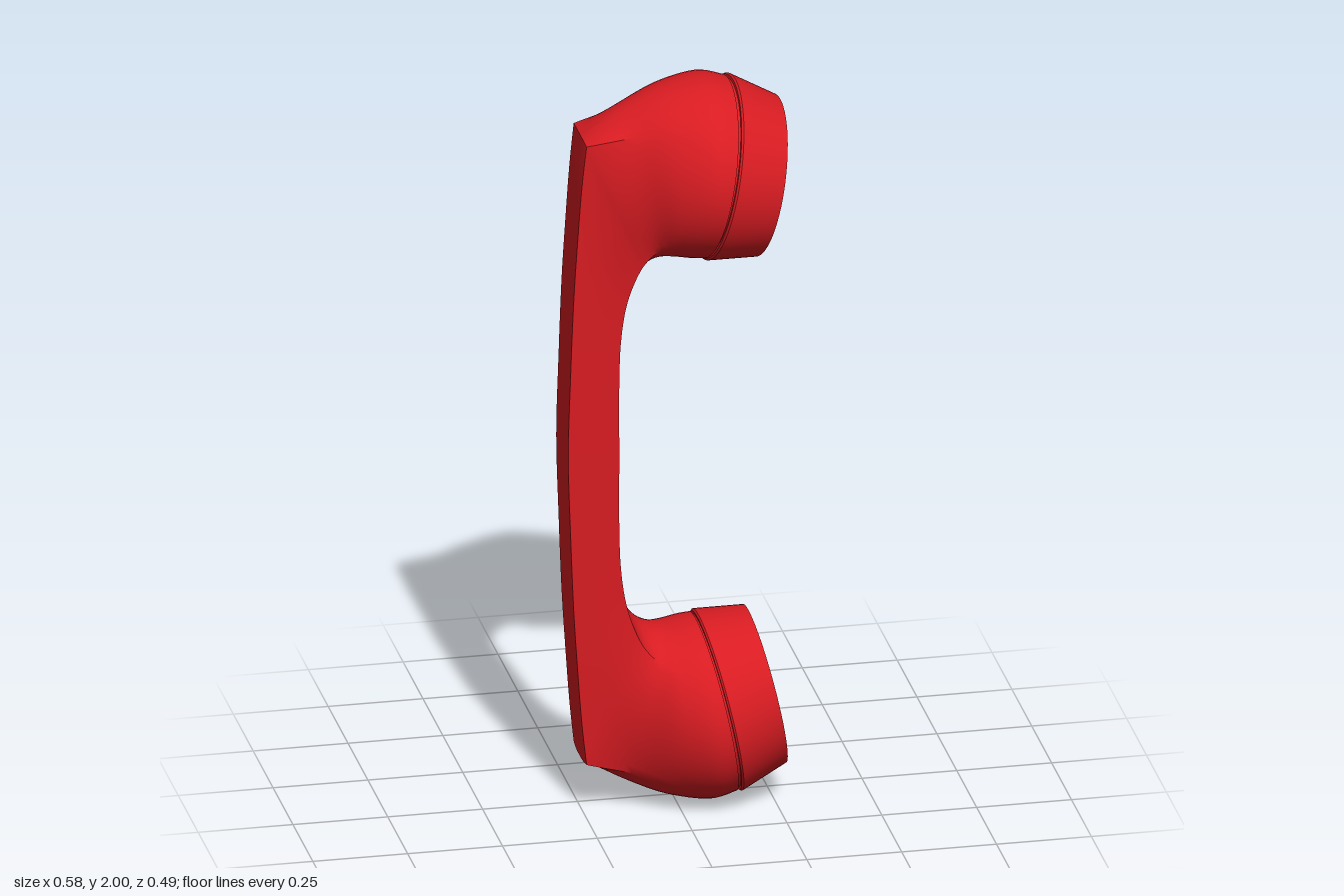
import * as THREE from 'three';
import { toCreasedNormals } from 'three/addons/utils/BufferGeometryUtils.js';

const red = new THREE.MeshStandardMaterial({ color: 0xd81c22 });

// Cross-sections from the upper end to mid-handle:
// outer x, y | inner x, y | half width outer, inner | roundness outer, inner
const HALF = [
  [0.152, 1.983, 0.062, 1.515, 0.245, 0.245, 1, 1],
  [0.08, 2.0, 0.03, 1.517, 0.245, 0.243, 1, 1],
  [-0.03, 1.982, -0.015, 1.523, 0.195, 0.22, 0.95, 1],
  [-0.14, 1.935, -0.05, 1.521, 0.128, 0.178, 0.75, 0.9],
  [-0.245, 1.87, -0.085, 1.506, 0.083, 0.145, 0, 0.65],
  [-0.256, 1.75, -0.115, 1.475, 0.08, 0.122, 0, 0.35],
  [-0.266, 1.6, -0.14, 1.415, 0.078, 0.105, 0, 0.12],
  [-0.276, 1.43, -0.155, 1.325, 0.077, 0.098, 0, 0],
  [-0.284, 1.22, -0.16, 1.2, 0.076, 0.097, 0, 0],
  [-0.29, 1, -0.16, 1, 0.076, 0.097, 0, 0],
];
const mirrored = HALF.slice(0, -1).reverse().map((r) => r.map((v, k) => (k === 1 || k === 3 ? 2 - v : v)));
const ROWS = [...HALF, ...mirrored];
const LAST = ROWS.length - 1;
const CORNERS = [0, 4, LAST - 4, LAST]; // the outer line breaks sharply here

// Smooth interpolation of one column, stopping at the sharp corners
function sample(col, t) {
  const i = Math.min(Math.floor(t), LAST - 1);
  const f = t - i;
  const outer = col === 0 || col === 1 || col === 4 || col === 6;
  const breaks = outer ? CORNERS : [0, LAST];
  const lo = Math.max(...breaks.filter((b) => b <= i));
  const hi = Math.min(...breaks.filter((b) => b > i));
  const at = (k) => ROWS[Math.min(hi, Math.max(lo, k))][col];
  const [a, b, c, d] = [at(i - 1), at(i), at(i + 1), at(i + 2)];
  return b + 0.5 * f * (c - a + f * (2 * a - 5 * b + 4 * c - d + f * (3 * (b - c) + d - a)));
}

// Handle and both bells as one loft, blending square sections into round ones
function bodyGeometry() {
  const sides = 64, steps = 6;
  const rings = [[0, 0]];
  for (let k = 0; k <= LAST * steps; k++) rings.push([k / steps, 1]);
  rings.push([LAST, 0]);
  const pos = [], index = [];
  rings.forEach(([t, size], i) => {
    const [ox, oy, ix, iy, wo, wi, ro, ri] = ROWS[0].map((_, col) => sample(col, t));
    for (let j = 0; j <= sides; j++) {
      const a = ((j % sides) / sides) * Math.PI * 2;
      const c = Math.cos(a), s = Math.sin(a);
      const m = Math.max(Math.abs(c), Math.abs(s));
      const mix = THREE.MathUtils.clamp(ri + (ro - ri) * (c + 1) / 2, 0, 1);
      const k = size * THREE.MathUtils.lerp(1 / m, 1, mix);
      const u = c * k;
      const w = wi + (wo - wi) * (u + 1) / 2;
      pos.push((ox + ix) / 2 + u * (ox - ix) / 2, (oy + iy) / 2 + u * (oy - iy) / 2, s * k * w);
      if (i < rings.length - 1 && j < sides) {
        const p = i * (sides + 1) + j, q = p + sides + 1;
        index.push(p, q, p + 1, p + 1, q, q + 1);
      }
    }
  });
  const g = new THREE.BufferGeometry();
  g.setAttribute('position', new THREE.Float32BufferAttribute(pos, 3));
  g.setIndex(index);
  return toCreasedNormals(g, 0.55);
}

// Screw-on cap: a collar in the groove, a tapered rim, and a given face
function capGeometry(face) {
  const profile = [[0, -0.02], [0.232, -0.02], [0.232, 0.006], [0.24, 0.006], [0.244, 0.011], [0.212, 0.14], ...face];
  const g = new THREE.LatheGeometry(profile.map(([x, y]) => new THREE.Vector2(x, y)), 64);
  // lean the cap slightly toward the middle of the handle
  const p = g.attributes.position;
  for (let i = 0; i < p.count; i++) p.setX(i, p.getX(i) + 0.07 * p.getY(i));
  return toCreasedNormals(g, 0.6);
}

function addCap(parent, name, face) {
  const cap = new THREE.Mesh(capGeometry(face), red);
  cap.name = name;
  cap.position.set(0.108, 0.749, 0);
  cap.rotation.z = -Math.PI / 2 - 0.2;
  parent.add(cap);
}

export function createModel() {
  const model = new THREE.Group();
  model.name = 'telephoneHandset';

  const body = new THREE.Mesh(bodyGeometry(), red);
  body.name = 'handle';
  model.add(body);

  // Earpiece with a dished face and a small centre disc
  const upper = new THREE.Group();
  upper.name = 'upperEnd';
  upper.position.y = 1;
  addCap(upper, 'earpieceCap', [
    [0.12, 0.14], [0.105, 0.137], [0.092, 0.131], [0.078, 0.122], [0.062, 0.116], [0.06, 0.121], [0, 0.121],
  ]);

  // Mouthpiece with a flat face, turned over to the lower end
  const lower = new THREE.Group();
  lower.name = 'lowerEnd';
  lower.position.y = 1;
  lower.rotation.x = Math.PI;
  addCap(lower, 'mouthpieceCap', [[0, 0.14]]);

  model.add(upper, lower);
  return model;
}
